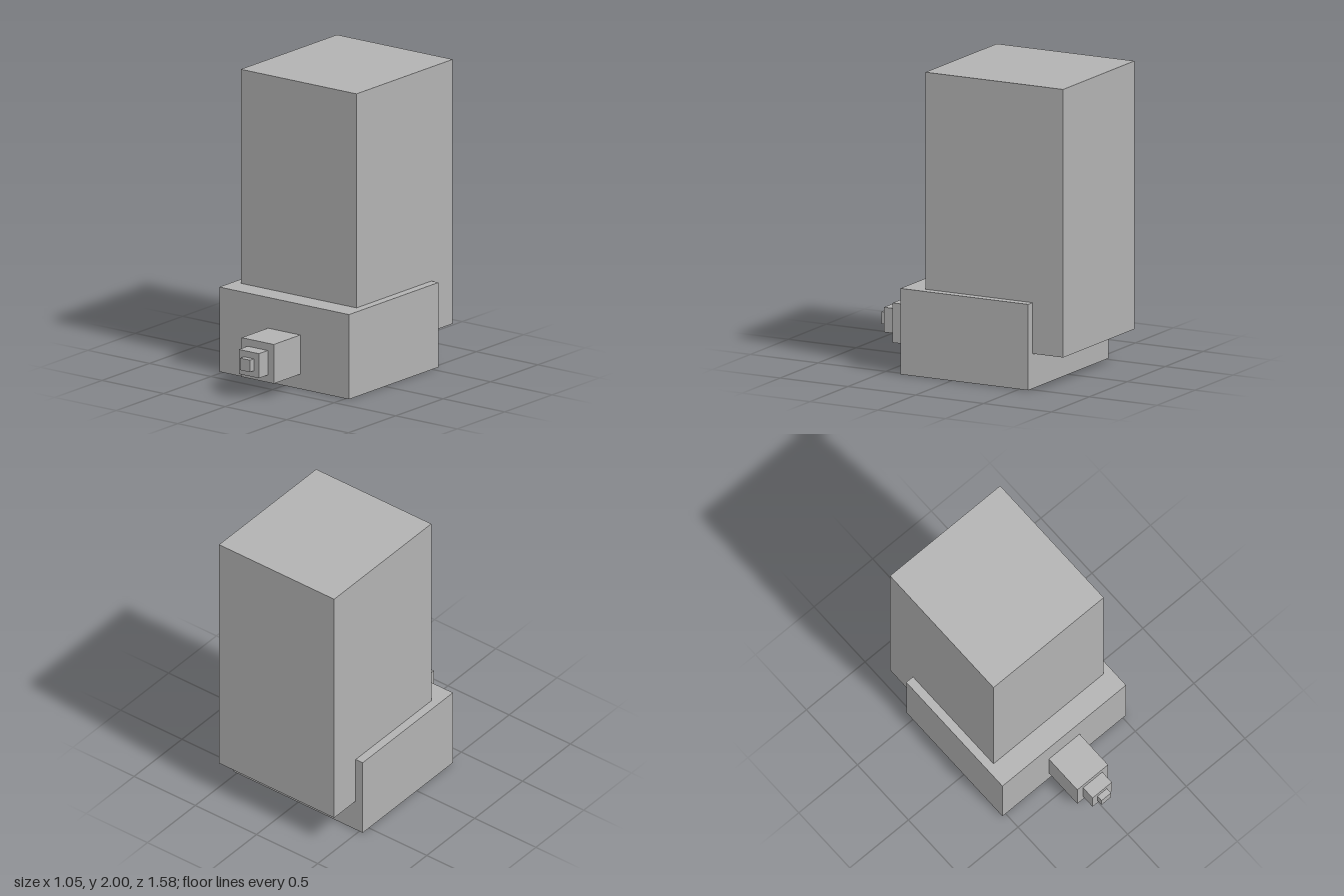
import * as THREE from 'three';

export function createModel() {
  const model = new THREE.Group();
  const grey = new THREE.MeshStandardMaterial({ color: 0xb2b2b2 });
  grey.name = 'grey';

  // Box given by its half width and its y and z limits, centred on x = 0
  function block(name, halfWidth, [y0, y1], [z0, z1]) {
    const mesh = new THREE.Mesh(new THREE.BoxGeometry(halfWidth * 2, y1 - y0, z1 - z0), grey);
    mesh.name = name;
    mesh.position.set(0, (y0 + y1) / 2, (z0 + z1) / 2);
    model.add(mesh);
  }

  // Tall body, overhanging the base at the back
  block('tower', 0.47, [0.23, 2], [-0.79, 0.225]);
  block('base', 0.527, [0, 0.567], [-0.565, 0.378]);

  // Stepped spout on the front, each step narrower than the last
  block('spoutRoot', 0.131, [0.099, 0.361], [0.378, 0.657]);
  block('spoutMiddle', 0.082, [0.148, 0.312], [0.657, 0.75]);
  block('spoutTip', 0.04, [0.19, 0.27], [0.75, 0.79]);

  return model;
}
